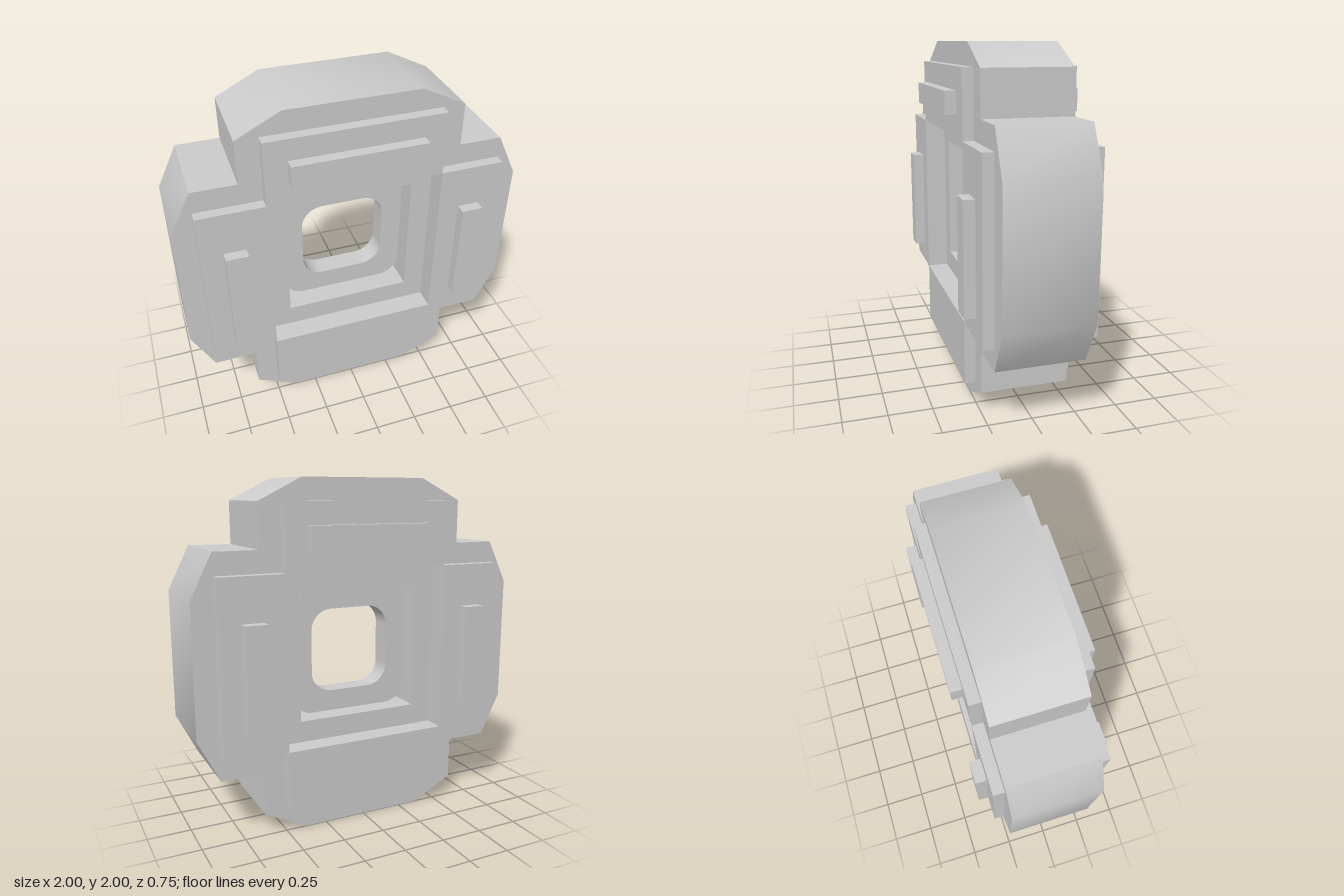
import * as THREE from 'three';
import { toCreasedNormals } from 'three/addons/utils/BufferGeometryUtils.js';

const material = new THREE.MeshStandardMaterial({ color: 0xcccccc });

// Square path with half width h and optional corner radius r
function square(PathType, h, r = 0) {
  const p = new PathType();
  if (!r) return p.setFromPoints([[-h, -h], [h, -h], [h, h], [-h, h], [-h, -h]].map(([x, y]) => new THREE.Vector2(x, y)));
  const c = h - r, q = Math.PI / 2;
  p.moveTo(-c, -h);
  [[c, -c], [c, c], [-c, c], [-c, -c]].forEach(([x, y], i) => p.absarc(x, y, r, (i - 1) * q, i * q, false));
  return p;
}

// Plate with a hole, centred on z = 0
function ring(name, shape, hole, depth) {
  shape.holes.push(hole);
  const geo = new THREE.ExtrudeGeometry(shape, { depth, bevelEnabled: false, curveSegments: 8 });
  geo.translate(0, 0, -depth / 2);
  const mesh = new THREE.Mesh(toCreasedNormals(geo, 0.5), material);
  mesh.name = name;
  return mesh;
}

function box(name, w, h, d, x, y, z) {
  const mesh = new THREE.Mesh(new THREE.BoxGeometry(w, h, d), material);
  mesh.name = name;
  mesh.position.set(x, y, z);
  return mesh;
}

export function createModel() {
  const group = new THREE.Group();
  group.name = 'crossFrame';
  const core = new THREE.Group();
  core.name = 'core';
  core.position.y = 1;
  group.add(core);

  // Stepped outer body: one quarter outline mirrored into all four
  const quarter = [[1, 0.375], [0.875, 0.625], [0.625, 0.625], [0.625, 0.875], [0.375, 1]];
  const flipped = [...quarter].reverse();
  const outline = [
    ...quarter,
    ...flipped.map(([x, y]) => [-x, y]),
    ...quarter.map(([x, y]) => [-x, -y]),
    ...flipped.map(([x, y]) => [x, -y]),
  ].map(([x, y]) => new THREE.Vector2(x, y));
  core.add(ring('body', new THREE.Shape(outline), square(THREE.Path, 0.5), 0.5));

  // Recessed square frame and the rounded ring inside it
  core.add(ring('innerFrame', square(THREE.Shape, 0.5), square(THREE.Path, 0.375), 0.375));
  core.add(ring('centreRing', square(THREE.Shape, 0.375, 0.125), square(THREE.Path, 0.25, 0.125), 0.125));

  // Raised plates and bars on both faces
  for (const [face, s] of [['front', 1], ['back', -1]]) {
    const plateZ = s * 0.28125, barZ = s * 0.34375;
    for (const [side, k] of [['Left', 1], ['Right', -1]]) {
      group.add(box(face + side + 'Plate', 0.375, 1, 0.0625, k * 0.6875, 1, plateZ));
      group.add(box(face + side + 'Bar', 0.125, 0.625, 0.0625, k * 0.6875, 0.9375, barZ));
    }
    group.add(box(face + 'TopPlate', 1, 0.375, 0.0625, 0, 1.6875, plateZ));
    group.add(box(face + 'BottomPlate', 1, 0.375, 0.0625, 0, 0.3125, plateZ));
    group.add(box(face + 'TopBar', 0.75, 0.125, 0.0625, 0, 1.6875, barZ));
  }
  return group;
}
